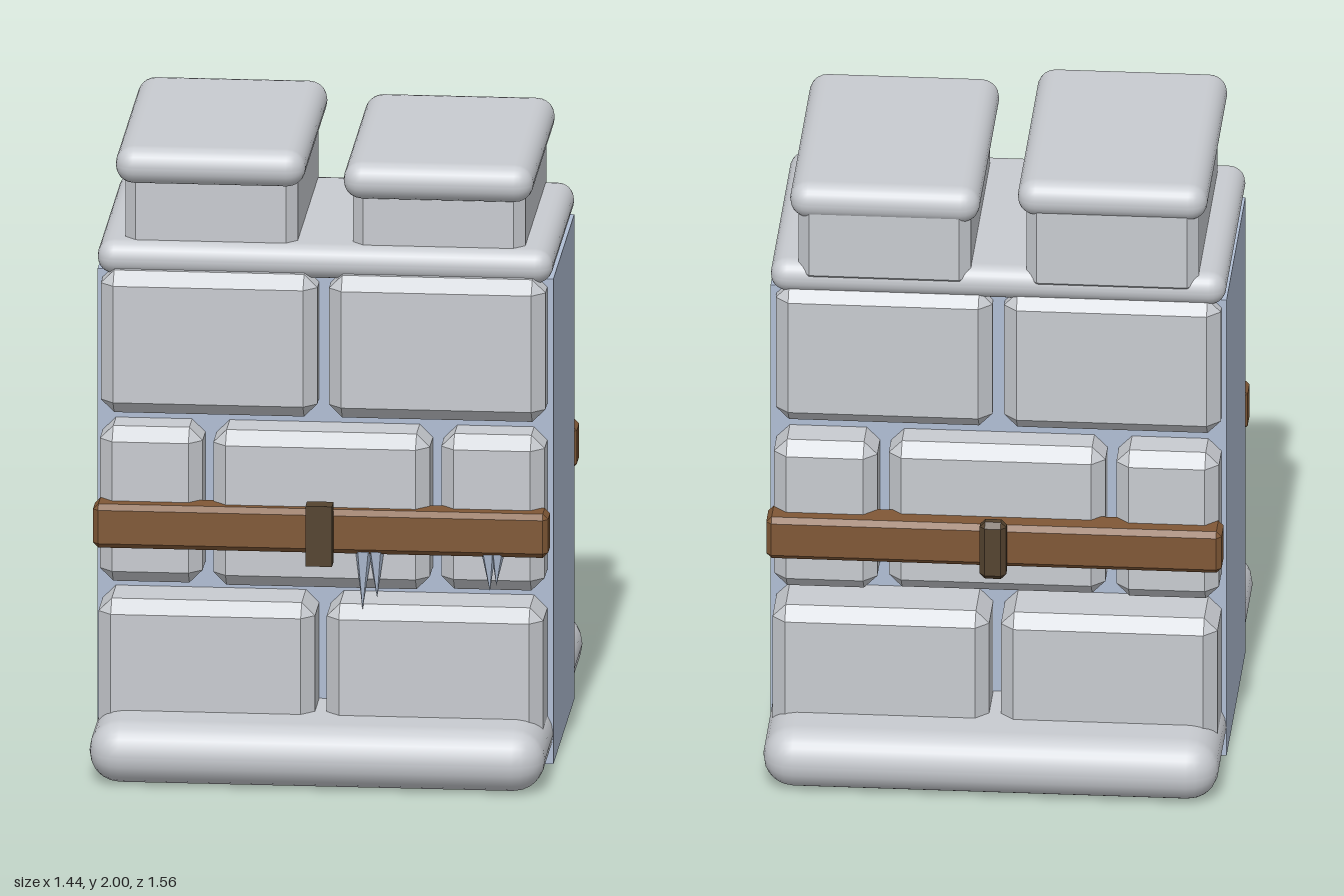
import * as THREE from 'three';
import { RoundedBoxGeometry } from 'three/addons/geometries/RoundedBoxGeometry.js';
import { ConvexGeometry } from 'three/addons/geometries/ConvexGeometry.js';

const material = (name, color) => {
  const m = new THREE.MeshStandardMaterial({ color });
  m.name = name;
  return m;
};

// Box with flat chamfers on every edge
function chamferBox(w, h, d, c) {
  const points = [];
  for (const sx of [-1, 1]) for (const sy of [-1, 1]) for (const sz of [-1, 1]) {
    for (let axis = 0; axis < 3; axis++) {
      const inset = [c, c, c];
      inset[axis] = 0;
      points.push(new THREE.Vector3(
        sx * (w / 2 - inset[0]), sy * (h / 2 - inset[1]), sz * (d / 2 - inset[2])));
    }
  }
  return new ConvexGeometry(points);
}

export function createModel() {
  const group = new THREE.Group();
  group.name = 'stoneWall';
  const stone = material('stone', 0xc8cbd0);
  const ice = material('ice', 0xb0bed4);
  const wood = material('wood', 0x805836);
  const iron = material('darkIron', 0x54432f);

  // Places a block by its limits; make(w, h, d) returns its geometry
  function block(name, mat, [x0, x1], [y0, y1], [z0, z1], make) {
    const mesh = new THREE.Mesh(make(x1 - x0, y1 - y0, z1 - z0), mat);
    mesh.position.set((x0 + x1) / 2, (y0 + y1) / 2, (z0 + z1) / 2);
    mesh.name = name;
    group.add(mesh);
    return mesh;
  }
  const plain = (w, h, d) => new THREE.BoxGeometry(w, h, d);
  const rounded = r => (w, h, d) => new RoundedBoxGeometry(w, h, d, 3, r);
  const chamfered = c => (w, h, d) => chamferBox(w, h, d, c);

  // Icy core, rounded plinth and top ledge
  block('core', ice, [-0.721, 0.721], [0.002, 1.59], [-0.38, 0.38], plain);
  block('plinth', stone, [-0.72, 0.72], [0, 0.2], [-0.78, 0.78], rounded(0.098));
  block('ledge', stone, [-0.72, 0.72], [1.58, 1.69], [-0.435, 0.44], rounded(0.053));

  // Brick courses on both faces
  const halves = [[-0.705, -0.02], [0.017, 0.702]];
  const thirds = [[-0.705, -0.38], [-0.345, 0.34], [0.375, 0.702]];
  const courses = [
    { y: [0.1, 0.555], spans: halves, front: [0.575, 0.575], back: [0.585, 0.585] },
    { y: [0.597, 1.105], spans: thirds, front: [0.522, 0.538, 0.522], back: [0.525, 0.513, 0.53] },
    { y: [1.14, 1.605], spans: halves, front: [0.49, 0.49], back: [0.455, 0.455] },
  ];
  for (const { y, spans, front, back } of courses) {
    spans.forEach((x, i) => {
      block('frontBrick', stone, x, y, [0.25, front[i]], chamfered(0.042));
      block('backBrick', stone, x, y, [-back[i], -0.25], chamfered(0.042));
    });
  }

  // Battlements: a block with a rounded capstone, one taller than the other
  block('rightMerlon', stone, [-0.635, -0.09], [1.62, 1.95], [-0.44, 0.39], chamfered(0.035));
  block('rightCapstone', stone, [-0.662, -0.062], [1.88, 2], [-0.455, 0.455], rounded(0.058));
  block('leftMerlon', stone, [0.085, 0.63], [1.62, 1.91], [-0.44, 0.39], chamfered(0.035));
  block('leftCapstone', stone, [0.058, 0.658], [1.843, 1.963], [-0.45, 0.443], rounded(0.058));

  // Timber beams with a metal clamp at the middle
  block('frontBeam', wood, [-0.72, 0.72], [0.727, 0.87], [0.47, 0.577], chamfered(0.017));
  block('backBeam', wood, [-0.72, 0.72], [0.727, 0.87], [-0.585, -0.468], chamfered(0.017));
  block('frontClamp', iron, [-0.042, 0.042], [0.7, 0.897], [0.57, 0.628], plain);
  block('backClamp', iron, [-0.042, 0.042], [0.7, 0.897], [-0.627, -0.57], chamfered(0.017));

  // Icicles under the front beam: top x, tip x, tip y, radius
  const icicles = [
    [0.135, 0.132, 0.54, 0.028], [0.175, 0.178, 0.58, 0.026],
    [0.53, 0.535, 0.61, 0.024], [0.56, 0.555, 0.63, 0.022],
  ];
  for (const [x, tipX, tipY, r] of icicles) {
    const h = 0.735 - tipY;
    const geometry = new THREE.ConeGeometry(r, h, 5).rotateX(Math.PI).toNonIndexed();
    geometry.computeVertexNormals();
    const mesh = new THREE.Mesh(geometry, ice);
    mesh.position.set((x + tipX) / 2, tipY + h / 2, 0.55);
    mesh.rotation.z = Math.atan2(tipX - x, h);
    mesh.name = 'icicle';
    group.add(mesh);
  }
  return group;
}
